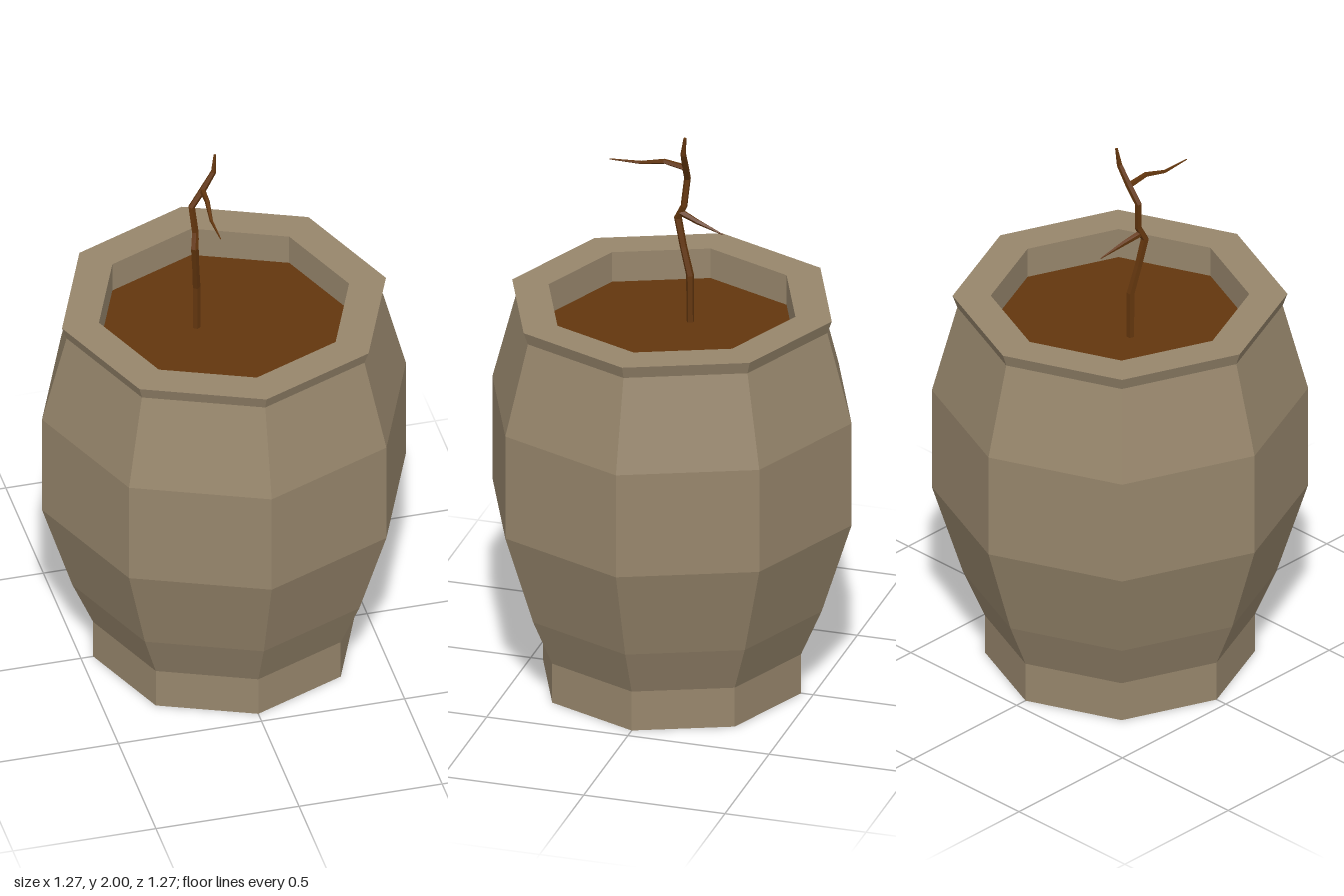
import * as THREE from 'three';

const SIDES = 8;
const clay = new THREE.MeshStandardMaterial({ color: 0x97866c, flatShading: true });
const soilBrown = new THREE.MeshStandardMaterial({ color: 0x63360e, flatShading: true });
const bark = new THREE.MeshStandardMaterial({ color: 0x63360e, flatShading: true });

function lathe(name, profile, material) {
  const points = profile.map(([r, y]) => new THREE.Vector2(r, y));
  const mesh = new THREE.Mesh(new THREE.LatheGeometry(points, SIDES), material);
  mesh.name = name;
  return mesh;
}

// Tapered limb: a ring of corners at each [x, y, z, radius], joined and capped
function limb(name, path, sides = 5) {
  const centres = path.map(([x, y, z]) => new THREE.Vector3(x, y, z));
  const last = path.length - 1;
  const positions = [];
  const index = [];
  const up = new THREE.Vector3(0, 1, 0);
  centres.forEach((c, i) => {
    const dir = centres[Math.min(i + 1, last)].clone().sub(centres[Math.max(i - 1, 0)]).normalize();
    const turn = new THREE.Quaternion().setFromUnitVectors(up, dir);
    for (let k = 0; k < sides; k++) {
      const a = (k / sides) * Math.PI * 2;
      const p = new THREE.Vector3(Math.sin(a), 0, Math.cos(a)).multiplyScalar(path[i][3]);
      positions.push(...p.applyQuaternion(turn).add(c).toArray());
    }
  });
  for (let i = 0; i < last; i++) {
    for (let k = 0; k < sides; k++) {
      const a = i * sides + k;
      const b = i * sides + ((k + 1) % sides);
      index.push(a, b, b + sides, a, b + sides, a + sides);
    }
  }
  for (let k = 1; k < sides - 1; k++) {
    const t = last * sides;
    index.push(0, k + 1, k, t, t + k, t + k + 1);
  }
  const geometry = new THREE.BufferGeometry();
  geometry.setAttribute('position', new THREE.Float32BufferAttribute(positions, 3));
  geometry.setIndex(index);
  geometry.computeVertexNormals();
  const mesh = new THREE.Mesh(geometry, bark);
  mesh.name = name;
  return mesh;
}

export function createModel() {
  const model = new THREE.Group();
  model.name = 'pottedTwig';

  // Eight-sided pot: base, foot, belly, neck, flared rim and inner wall
  model.add(lathe('pot', [
    [0, 0], [0.457, 0], [0.457, 0.145], [0.53, 0.315], [0.636, 0.65], [0.636, 1.03],
    [0.55, 1.355], [0.566, 1.4], [0.437, 1.4], [0.437, 1.285],
  ], clay));

  // Soil surface
  model.add(lathe('soil', [[0.437, 1.29], [0, 1.29]], soilBrown));

  // Bare twig with two side shoots
  const twig = new THREE.Group();
  twig.name = 'twig';
  twig.add(
    limb('stem', [
      [-0.086, 1.28, -0.038, 0.014], [-0.087, 1.46, -0.037, 0.014], [-0.097, 1.56, -0.01, 0.013],
      [-0.106, 1.66, 0.012, 0.014], [-0.098, 1.71, -0.012, 0.012], [-0.108, 1.81, -0.021, 0.012],
      [-0.068, 1.87, -0.026, 0.012], [-0.029, 1.935, -0.031, 0.01], [-0.022, 2, -0.039, 0.005],
    ]),
    limb('lowerShoot', [
      [-0.1, 1.685, 0, 0.012], [-0.083, 1.665, -0.065, 0.009], [-0.066, 1.638, -0.16, 0.002],
    ]),
    limb('upperShoot', [
      [-0.068, 1.868, -0.026, 0.011], [-0.072, 1.88, 0.05, 0.009],
      [-0.08, 1.86, 0.135, 0.006], [-0.076, 1.86, 0.245, 0.002],
    ]),
  );
  model.add(twig);
  return model;
}
